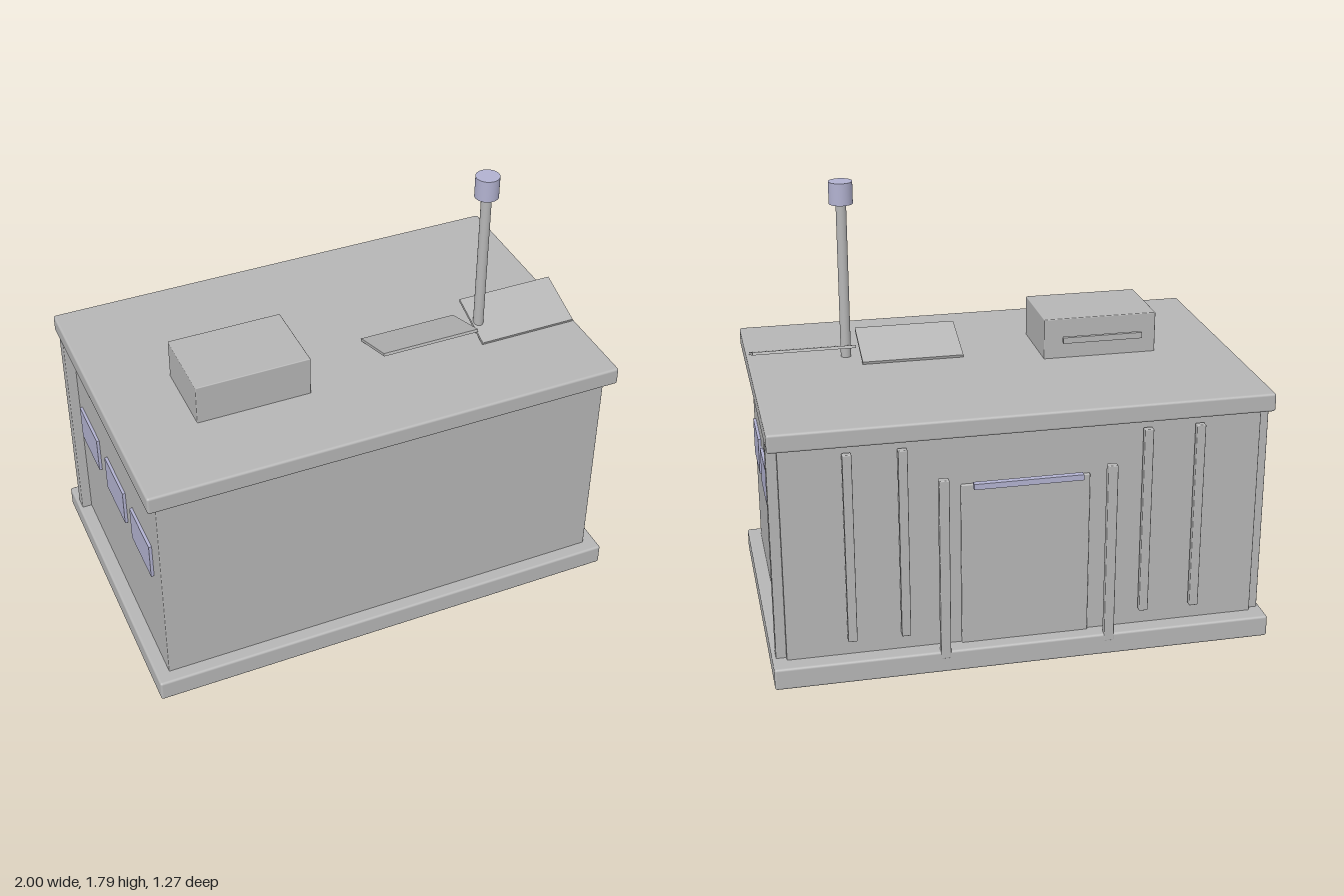
import * as THREE from 'three';
import { RoundedBoxGeometry } from 'three/addons/geometries/RoundedBoxGeometry.js';

export function createModel() {
  const grey = new THREE.MeshStandardMaterial({ color: 0xb6b6b6 });
  grey.name = 'concreteGrey';
  const lavender = new THREE.MeshStandardMaterial({ color: 0xb2b2d0 });
  lavender.name = 'paleLavender';

  const model = new THREE.Group();
  model.name = 'utilityBuilding';

  const add = (name, geometry, material, x = 0, y = 0, z = 0) => {
    const mesh = new THREE.Mesh(geometry, material);
    mesh.name = name;
    mesh.position.set(x, y, z);
    model.add(mesh);
    return mesh;
  };

  // Box given by its [min, max] extents, with an optional softened edge
  const box = (name, [x0, x1], [y0, y1], [z0, z1], material = grey, bevel = 0) => {
    const size = [x1 - x0, y1 - y0, z1 - z0];
    const geometry = bevel
      ? new RoundedBoxGeometry(...size, 2, bevel)
      : new THREE.BoxGeometry(...size);
    return add(name, geometry, material, (x0 + x1) / 2, (y0 + y1) / 2, (z0 + z1) / 2);
  };
  const around = (centre, width) => [centre - width / 2, centre + width / 2];

  // Main body
  box('base', [-1, 1], [0, 0.09], [-0.635, 0.635], grey, 0.01);
  box('walls', [-0.945, 0.945], [0.08, 0.985], [-0.567, 0.58], grey, 0.004);
  box('roof', [-0.985, 0.985], [0.98, 1.055], [-0.617, 0.62], grey, 0.01);

  // Parts mirrored on both sides
  for (const side of [-1, 1]) {
    box('cornerPost', around(side * 0.955, 0.06), [0.085, 0.985], [-0.545, -0.487], grey, 0.005);
    for (const z of [0.36, 0.03, -0.32]) {
      box('window', around(side * 0.949, 0.016), [0.53, 0.685], around(z, 0.24), lavender);
    }
    for (const x of [0.48, 0.69]) {
      box('wallRib', around(side * x, 0.036), [0.16, 0.945], [-0.605, -0.577], grey, 0.004);
    }
    box('doorPost', around(side * 0.33, 0.04), [0.06, 0.82], [-0.636, -0.605], grey, 0.004);
  }

  // Rear door and the lamp above it
  box('door', [-0.255, 0.255], [0.085, 0.77], [-0.578, -0.55], grey, 0.005);
  box('doorLamp', [-0.215, 0.215], [0.77, 0.793], [-0.632, -0.607], lavender);

  // Rooftop unit with its vent bar
  box('roofUnit', [-0.67, -0.2], [1.05, 1.222], [-0.043, 0.28], grey, 0.004);
  box('ventBar', [-0.6, -0.27], [1.13, 1.155], [-0.087, -0.071]);

  // Two panels tilted in opposite directions
  for (const [x, tilt] of [[0.325, -0.33], [0.765, 0.33]]) {
    const panel = add('tiltedPanel', new THREE.BoxGeometry(0.415, 0.012, 0.23), grey, x, 1.098, 0.157);
    panel.rotation.x = tilt;
  }

  // Mast with its beacon
  add('mast', new THREE.CylinderGeometry(0.021, 0.021, 0.66, 24), grey, 0.585, 1.38, 0.168);
  add('beacon', new THREE.CylinderGeometry(0.048, 0.048, 0.09, 32), lavender, 0.585, 1.743, 0.168);

  return model;
}
